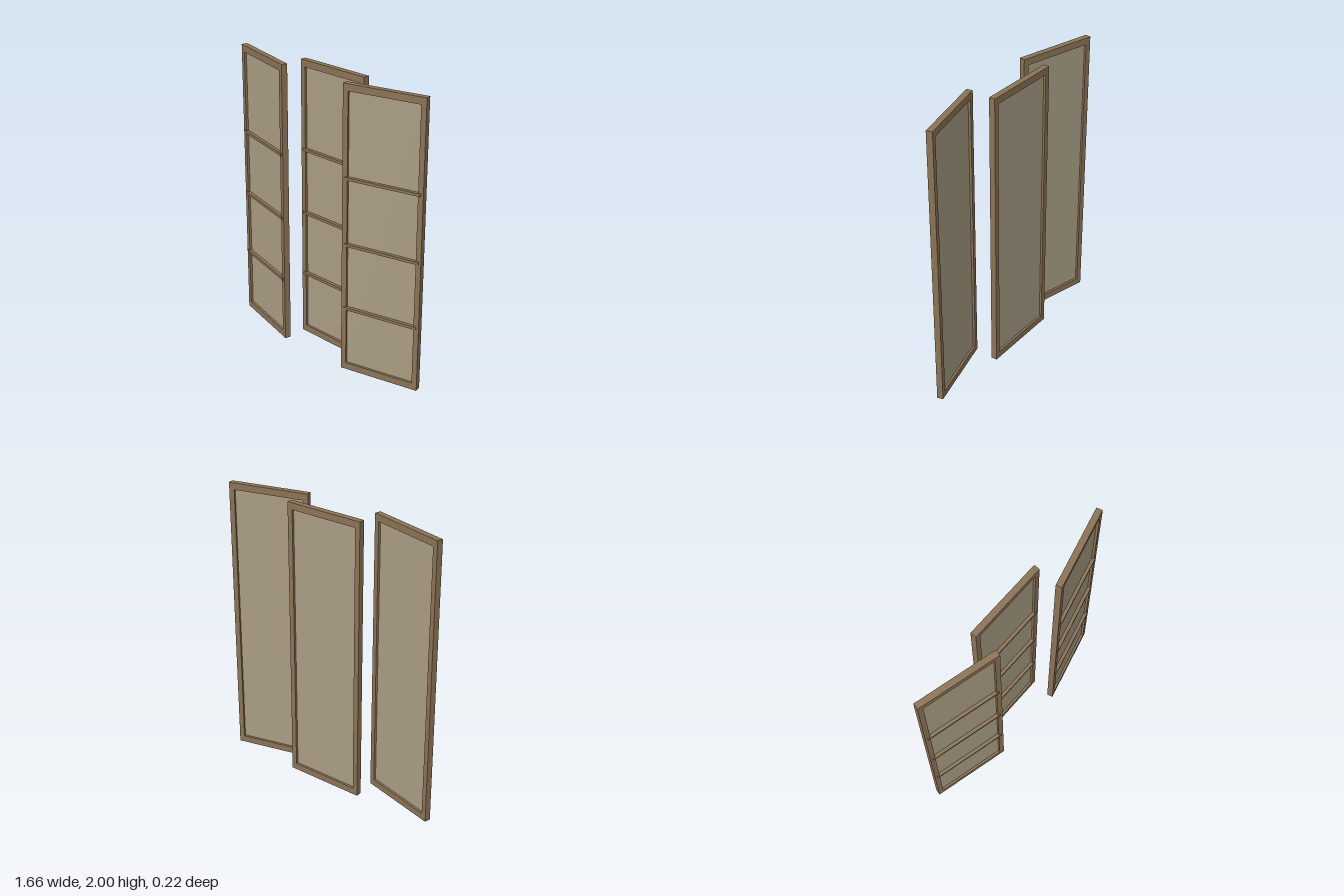
import * as THREE from 'three';

const W = 0.57, H = 2, T = 0.042; // one panel: width, height, thickness
const STILE = 0.036, RAIL = 0.047; // frame member widths

export function createModel() {
  const model = new THREE.Group();
  model.name = 'foldingScreen';

  const wood = new THREE.MeshStandardMaterial({ color: 0x8b7355 });
  wood.name = 'wood';
  const paper = new THREE.MeshStandardMaterial({ color: 0xa99d84 });
  paper.name = 'paper';

  // Rectangular frame with an open middle
  const outline = new THREE.Shape([
    new THREE.Vector2(-W / 2, 0), new THREE.Vector2(W / 2, 0),
    new THREE.Vector2(W / 2, H), new THREE.Vector2(-W / 2, H),
  ]);
  const x = W / 2 - STILE;
  outline.holes.push(new THREE.Path([
    new THREE.Vector2(-x, RAIL), new THREE.Vector2(-x, H - RAIL),
    new THREE.Vector2(x, H - RAIL), new THREE.Vector2(x, RAIL),
  ]));
  const frameGeo = new THREE.ExtrudeGeometry(outline, { depth: T, bevelEnabled: false });
  frameGeo.translate(0, 0, -T / 2);

  // Thin sheet held inside the frame, and slats across its front
  const sheetGeo = new THREE.BoxGeometry(2 * x + 0.004, H - 2 * RAIL + 0.004, 0.01);
  const slatGeo = new THREE.BoxGeometry(0.536, 0.019, 0.024);

  function addPanel(name, px, pz, angle) {
    const panel = new THREE.Group();
    panel.name = name;
    const add = (part, geo, mat, y, z) => {
      const mesh = new THREE.Mesh(geo, mat);
      mesh.name = part;
      mesh.position.set(0, y, z);
      panel.add(mesh);
    };
    add('frame', frameGeo, wood, 0, 0);
    add('paperSheet', sheetGeo, paper, H / 2, 0);
    for (const y of [0.46, 0.92, 1.38]) add('slat', slatGeo, wood, y, 0.016);
    panel.position.set(px, 0, pz);
    panel.rotation.y = angle;
    model.add(panel);
  }

  // Flat panel at the back, two angled panels standing forward
  addPanel('centrePanel', 0, -0.092, 0);
  addPanel('leftPanel', 0.548, 0.017, 0.25);
  addPanel('rightPanel', -0.548, 0.017, -0.25);

  return model;
}
